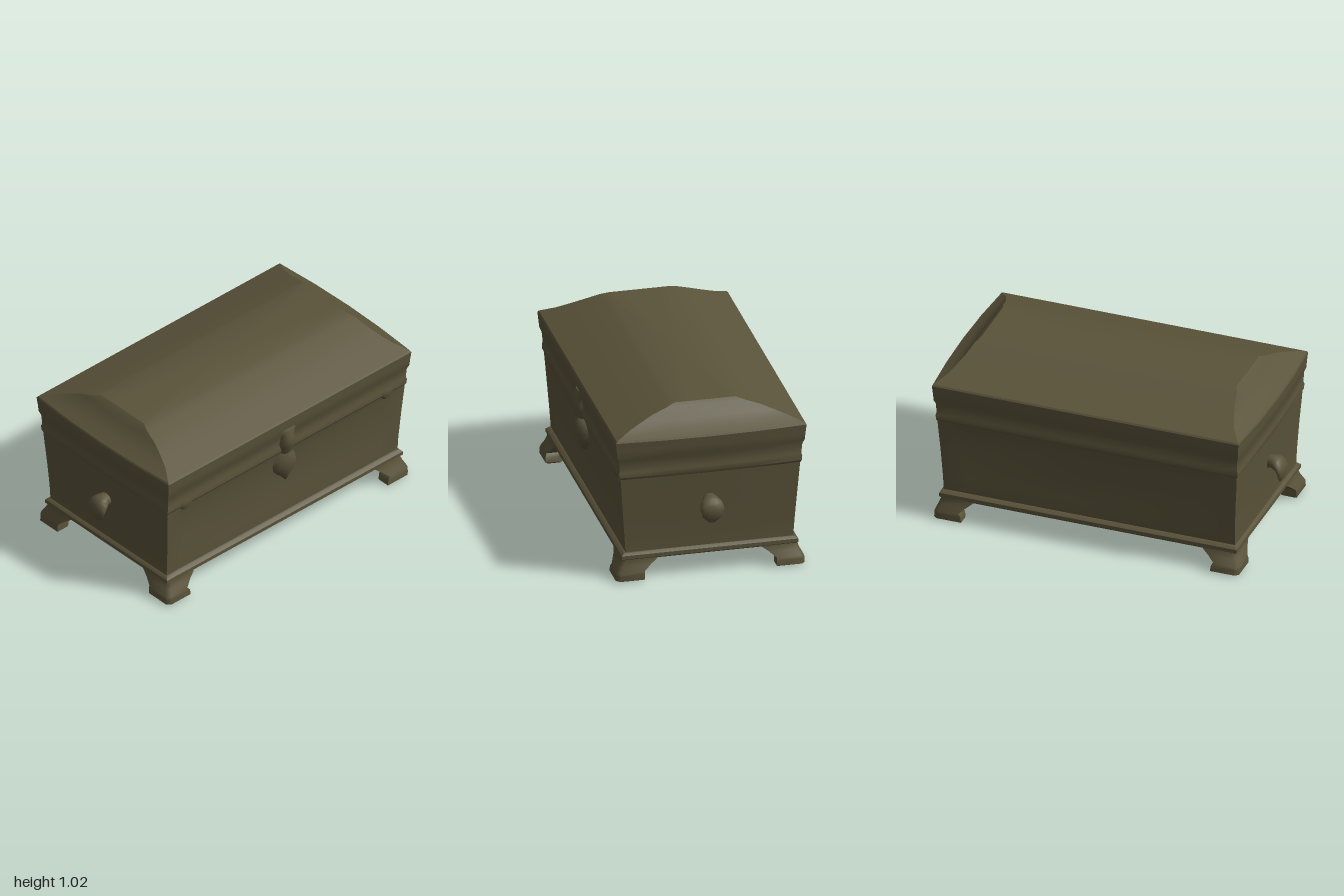
import * as THREE from 'three';
import { toCreasedNormals } from 'three/addons/utils/BufferGeometryUtils.js';

const bronze = new THREE.MeshStandardMaterial({ color: 0x5a533a });
bronze.name = 'dark olive bronze';

// Skins a stack of equal-length rings and closes both ends.
function loft(name, rings, crease = 0.6) {
  const n = rings[0].length, pos = [], idx = [];
  rings.forEach(r => r.forEach(p => pos.push(...p)));
  for (let j = 0; j < rings.length - 1; j++) {
    for (let i = 0; i < n; i++) {
      const a = j * n + i, b = j * n + (i + 1) % n;
      idx.push(a, b, b + n, a, b + n, a + n);
    }
  }
  const cap = (j, top) => {
    const c = pos.length / 3, mid = [0, 0, 0];
    rings[j].forEach(p => p.forEach((v, k) => { mid[k] += v / n; }));
    pos.push(...mid);
    for (let i = 0; i < n; i++) {
      const a = j * n + i, b = j * n + (i + 1) % n;
      if (top) idx.push(c, a, b); else idx.push(c, b, a);
    }
  };
  cap(0, false);
  cap(rings.length - 1, true);
  const g = new THREE.BufferGeometry();
  g.setAttribute('position', new THREE.Float32BufferAttribute(pos, 3));
  g.setIndex(idx);
  const mesh = new THREE.Mesh(toCreasedNormals(g, crease), bronze);
  mesh.name = name;
  return mesh;
}

// Box section: half sizes, outward bow of the ends, hollow of the long panels.
function boxRing([y, hx, hz, bow = 0, hollow = 0]) {
  const cx = hx - bow, px = cx - 0.08, ix = cx - 0.13, h = hz - hollow;
  const half = [
    [-cx, y, hz], [-px, y, hz], [-ix, y, h], [0, y, h], [ix, y, h], [px, y, hz],
    [cx, y, hz], [cx + bow * 0.75, y, hz / 2], [hx, y, 0], [cx + bow * 0.75, y, -hz / 2],
  ];
  return [...half, ...half.slice(0, 6).map(([x, , z]) => [-x, y, -z]),
    ...half.slice(6).map(([x, , z]) => [-x, y, -z])];
}

// Bracket foot flaring to a toe, with its inner corner cut away.
function foot(name, sx, sz) {
  const sections = [ // y, outer x, outer z, inner x, inner z
    [0.005, 0.905, 0.535, 0.765, 0.40],
    [0.015, 0.925, 0.552, 0.755, 0.385],
    [0.05, 0.925, 0.55, 0.76, 0.385],
    [0.065, 0.92, 0.545, 0.775, 0.385],
    [0.1, 0.905, 0.525, 0.735, 0.345],
    [0.13, 0.895, 0.515, 0.70, 0.305],
    [0.165, 0.895, 0.51, 0.70, 0.305],
  ];
  return loft(name, sections.map(([y, ox, oz, ix, iz]) => {
    const r = 0.02, t = 0.075;
    const pts = [[ix, oz], [ox - r, oz], [ox, oz - r], [ox, iz], [ox - t, iz], [ix, oz - t]]
      .map(([x, z]) => [x * sx, y, z * sz]);
    return sx * sz < 0 ? pts.reverse() : pts;
  }), 0.8);
}

// Drooping side lug swept along a hooked path.
function handle(name) {
  const curve = new THREE.CatmullRomCurve3([
    [0.88, 0.46], [0.925, 0.468], [0.957, 0.462], [0.979, 0.435], [0.981, 0.39], [0.973, 0.353],
  ].map(([x, y]) => new THREE.Vector3(x, y, 0)));
  const width = [0.035, 0.045, 0.064, 0.07, 0.056, 0.018];
  const thick = [0.04, 0.038, 0.037, 0.024, 0.014, 0.004];
  const at = (list, t) => {
    const k = Math.min(Math.floor(t * 5), 4);
    return THREE.MathUtils.lerp(list[k], list[k + 1], t * 5 - k);
  };
  const rings = [];
  for (let j = 0; j <= 15; j++) {
    const t = j / 15, c = curve.getPoint(t), d = curve.getTangent(t), ring = [];
    for (let i = 0; i < 16; i++) {
      const a = i / 16 * Math.PI * 2, q = Math.cos(a) * at(thick, t);
      ring.push([c.x - d.y * q, c.y + d.x * q, Math.sin(a) * at(width, t)]);
    }
    rings.push(ring);
  }
  return loft(name, rings, 1.2);
}

// Upright ornament with oval sections: y, half width, front z.
function ornament(name, x, back, sections) {
  return loft(name, sections.map(([y, w, front]) => {
    const ring = [];
    for (let i = 0; i < 16; i++) {
      const a = i / 16 * Math.PI * 2;
      ring.push([x + Math.sin(a) * w, y, back + Math.cos(a) * (front - back)]);
    }
    return ring;
  }), 1.0);
}

export function createModel() {
  const model = new THREE.Group();
  model.name = 'chest';
  const body = new THREE.Group();
  body.name = 'casket';
  body.position.z = -0.0125;
  model.add(body);

  // Base moulding
  body.add(loft('baseMoulding', [
    [0.13, 0.89, 0.505], [0.14, 0.902, 0.515], [0.162, 0.902, 0.515],
    [0.175, 0.89, 0.5], [0.18, 0.88, 0.488],
  ].map(boxRing)));

  // Tapering box with softly hollowed long sides
  body.add(loft('box', [
    [0.17, 0.885, 0.49], [0.22, 0.886, 0.493, 0.002], [0.28, 0.89, 0.497, 0.004, 0.008],
    [0.45, 0.903, 0.51, 0.008, 0.012], [0.6, 0.916, 0.521, 0.01, 0.008],
    [0.645, 0.92, 0.525, 0.012],
  ].map(boxRing)));

  // Lid rim and hipped, curved top
  body.add(loft('lid', [
    [0.64, 0.919, 0.524, 0.012], [0.655, 0.927, 0.533, 0.012], [0.685, 0.929, 0.535, 0.014],
    [0.7, 0.925, 0.53, 0.014], [0.76, 0.932, 0.536, 0.018], [0.785, 0.943, 0.547, 0.02],
    [0.83, 0.949, 0.552, 0.024], [0.88, 0.955, 0.557, 0.025], [0.89, 0.95, 0.55, 0.025],
    [0.925, 0.885, 0.465, 0.015], [0.955, 0.85, 0.39, 0.01], [0.985, 0.82, 0.315, 0.006],
    [1.015, 0.795, 0.225], [1.03, 0.775, 0.178],
  ].map(boxRing), 0.45));

  // Four corner feet
  for (const sx of [1, -1]) {
    for (const sz of [1, -1]) {
      body.add(foot(`${sz > 0 ? 'front' : 'back'}${sx > 0 ? 'Left' : 'Right'}Foot`, sx, sz));
    }
  }

  // Side handles
  const left = handle('leftHandle'), right = handle('rightHandle');
  right.rotation.y = Math.PI;
  left.position.z = right.position.z = 0.005;
  body.add(left, right);

  // Front clasp: flared hasp above a rounded lock drop
  model.add(ornament('haspPlate', -0.003, 0.5, [
    [0.63, 0.035, 0.54], [0.655, 0.042, 0.55], [0.69, 0.055, 0.56], [0.72, 0.057, 0.569],
    [0.745, 0.052, 0.568], [0.775, 0.06, 0.556], [0.8, 0.077, 0.552], [0.813, 0.078, 0.545],
  ]));
  model.add(ornament('lockDrop', -0.003, 0.47, [
    [0.433, 0.004, 0.515], [0.455, 0.022, 0.525], [0.475, 0.05, 0.532], [0.51, 0.081, 0.545],
    [0.55, 0.091, 0.555], [0.59, 0.08, 0.558], [0.62, 0.055, 0.556], [0.645, 0.03, 0.548],
  ]));

  // Small corner straps under the front rim
  for (const s of [1, -1]) {
    model.add(ornament(s > 0 ? 'leftStrap' : 'rightStrap', s * 0.77, 0.5, [
      [0.615, 0.02, 0.515], [0.64, 0.05, 0.524], [0.67, 0.075, 0.527], [0.69, 0.08, 0.522],
    ]));
  }
  return model;
}
